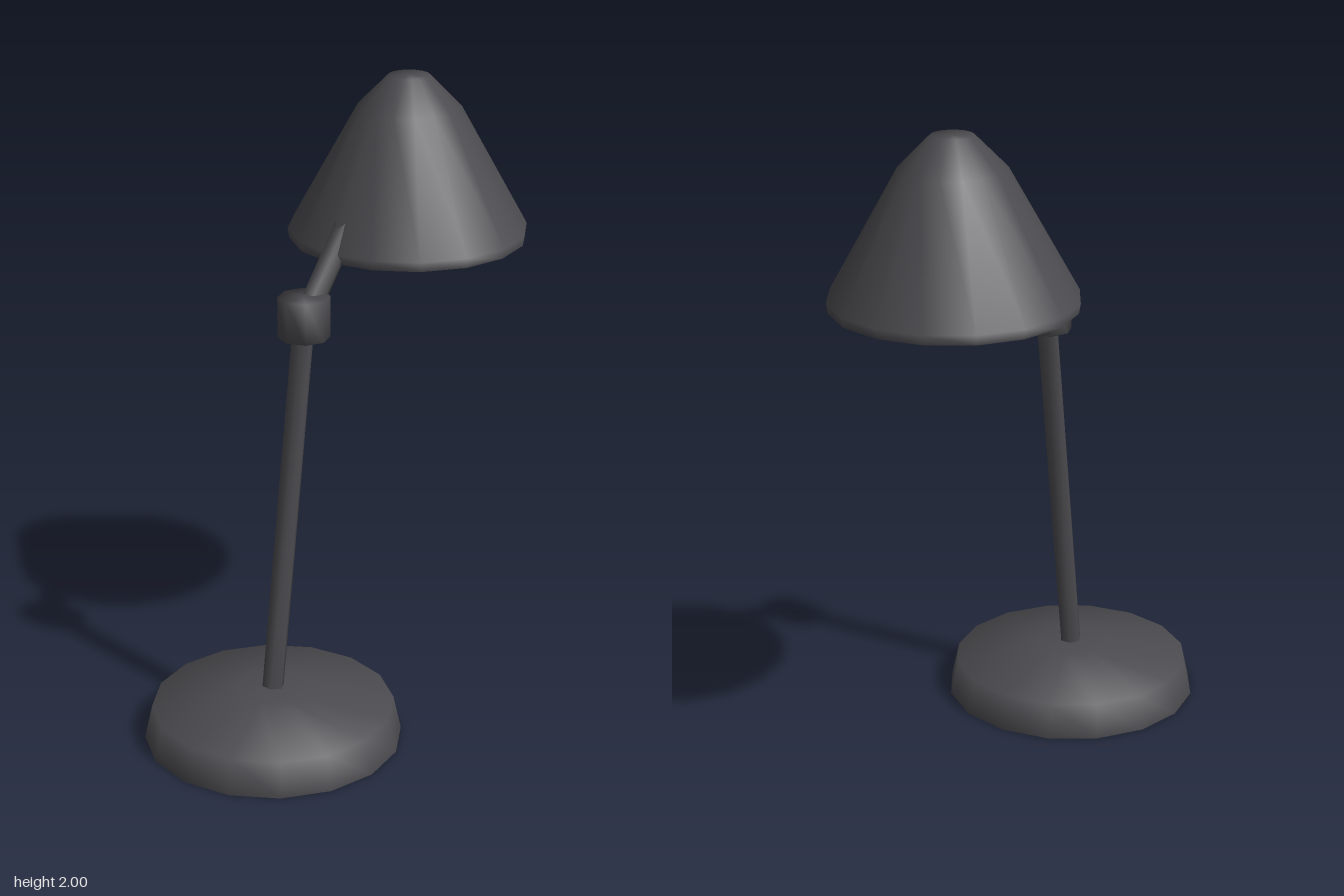
import * as THREE from 'three';
import { mergeVertices } from 'three/addons/utils/BufferGeometryUtils.js';

const paint = new THREE.MeshStandardMaterial({ color: 0x4b4a4e, side: THREE.DoubleSide });
paint.name = 'charcoal paint';
const glow = new THREE.MeshStandardMaterial({ color: 0xfbf0d4 });
glow.name = 'warm light';

// Painted mesh with normals smoothed across every edge
function smoothMesh(name, geometry) {
  geometry.deleteAttribute('uv');
  geometry.deleteAttribute('normal');
  const merged = mergeVertices(geometry, 1e-5);
  merged.computeVertexNormals();
  const mesh = new THREE.Mesh(merged, paint);
  mesh.name = name;
  return mesh;
}

// Turned part from [radius, height] pairs, listed from the underside up
function turned(name, profile, sides, x) {
  const points = profile.map(([r, y]) => new THREE.Vector2(r, y));
  const mesh = smoothMesh(name, new THREE.LatheGeometry(points, sides));
  mesh.position.x = x;
  return mesh;
}

// Straight six-sided rod between two points in the z = 0 plane
function rod(name, x0, y0, x1, y1, radius) {
  const length = Math.hypot(x1 - x0, y1 - y0);
  const mesh = smoothMesh(name, new THREE.CylinderGeometry(radius, radius, length, 6));
  mesh.position.set((x0 + x1) / 2, (y0 + y1) / 2, 0);
  mesh.rotation.z = -Math.atan2(x1 - x0, y1 - y0);
  return mesh;
}

export function createModel() {
  const lamp = new THREE.Group();
  lamp.name = 'deskLamp';

  // Hollow base: a thin shell, open underneath
  lamp.add(turned('base', [
    [0, 0.15], [0.11, 0.15], [0.365, 0.098], [0.388, 0],
    [0.405, 0], [0.38, 0.11], [0.115, 0.163], [0, 0.163],
  ], 16, -0.31));

  // Leaning pole, joint and the arm that runs into the shade
  lamp.add(rod('pole', -0.31, 0.165, -0.155, 1.33, 0.035));
  lamp.add(turned('joint', [[0, 1.287], [0.08, 1.287], [0.08, 1.415], [0, 1.415]], 8, -0.153));
  lamp.add(rod('arm', -0.147, 1.345, 0.225, 1.822, 0.038));

  // Open conical shade with a small flat crown
  lamp.add(turned('shade',
    [[0.37, 1.49], [0.375, 1.52], [0.163, 1.9], [0.064, 2], [0, 2]], 16, 0.338));

  // Lamp holder under the crown, with a flat light disc on its lower face
  lamp.add(turned('lampHolder', [[0, 1.735], [0.12, 1.735], [0.12, 1.9], [0, 1.9]], 16, 0.338));
  const disc = new THREE.Mesh(new THREE.CylinderGeometry(0.12, 0.12, 0.008, 16), glow);
  disc.name = 'lightDisc';
  disc.position.set(0.338, 1.731, 0);
  lamp.add(disc);

  return lamp;
}
